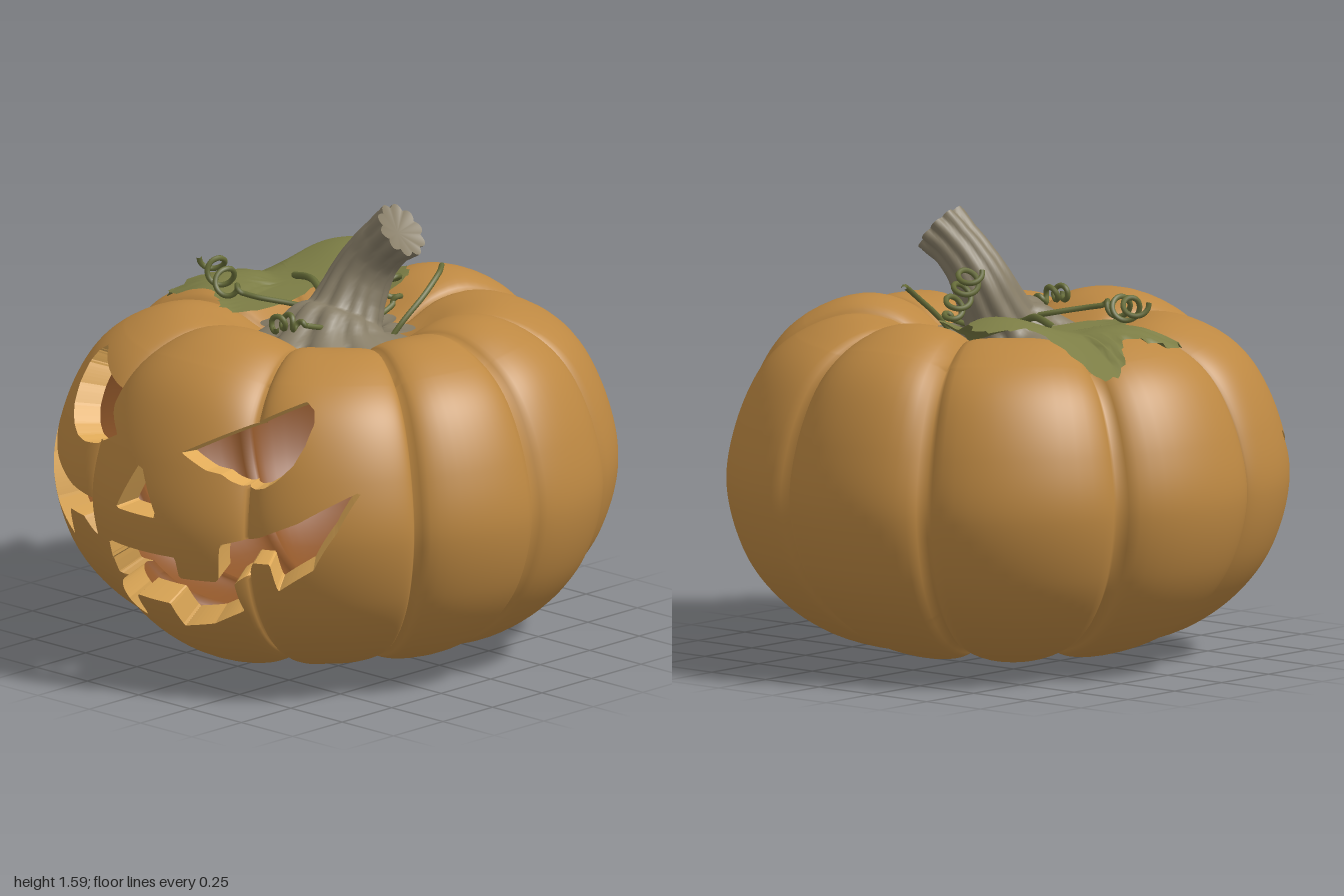
import * as THREE from 'three';

const mat = (name, color, side = THREE.FrontSide) => {
  const m = new THREE.MeshStandardMaterial({ color, side });
  m.name = name;
  return m;
};

// Body profile (radius, height) from bottom centre to top dip
const profile = new THREE.SplineCurve([
  [0, .06], [.15, .04], [.3, .014], [.43, .005], [.64, .075], [.815, .205], [.94, .385], [1, .62],
  [.965, .85], [.875, 1.05], [.75, 1.17], [.58, 1.235], [.42, 1.215], [.28, 1.13], [.15, 1.06], [0, 1.03],
].map(p => new THREE.Vector2(...p)));
const rows = [];
for (let k = 0; k < 15; k++) {
  const n = k >= 5 && k <= 9 ? 16 : k === 4 ? 6 : 4;
  for (let s = 0; s < n; s++) rows.push(profile.getPoint((k + s / n) / 15));
}
rows.push(profile.getPoint(1));

// Lobes: groove angles in degrees from the front towards +x, and the height of each lobe's top
const grooves = [-25, 24.2, 61.5, 91, 122.6, 166, 203.4, 247, 287.4, 335];
const tops = [1.235, 1.2, 1.215, 1.24, 1.21, 1.235, 1.2, 1.2, 1.2].map(y => (y - .6) / .635);
const depths = tops.map((_, l) => .105 * Math.pow((grooves[l + 1] - grooves[l]) / 45, 1.7));

// Groove dent and height factor in lobe l at u = -1..1, meeting the neighbours halfway
function lobe(l, u) {
  const next = (l + (u < 0 ? 8 : 1)) % 9;
  const blend = list => list[l] + (list[next] - list[l]) * .5 * u * u;
  return { dent: blend(depths) * (1 - Math.sqrt(Math.max(0, 1 - Math.pow(Math.abs(u), 2.2)))), top: blend(tops) };
}

// Height of the body's upper side at a point
function surfaceY(x, z) {
  let a = Math.atan2(x, z) * 180 / Math.PI;
  if (a < -25) a += 360;
  const l = Math.max(0, Math.min(8, grooves.findIndex(g => g > a) - 1));
  const { dent, top } = lobe(l, 2 * (a - grooves[l]) / (grooves[l + 1] - grooves[l]) - 1);
  const r = Math.hypot(x, z) / (1 - dent);
  let j = rows.length - 1;
  while (j > 0 && rows[j].x < r) j--;
  return .6 + (rows[j].y - .6) * (1 - dent) * top;
}

// Carved face outlines, mirrored about x = FX
const FX = -.02;
const mirrored = half => half.concat(half.filter(p => p[0] > 0).reverse().map(([x, y]) => [-x, y]));
const eye = [[.16, .90], [.50, 1.095], [.54, 1.07], [.562, 1.03], [.565, .96], [.55, .895], [.51, .84], [.47, .81],
  [.43, .798], [.37, .80], [.335, .82], [.31, .84], [.26, .85]];
const nose = [[0, .845], [.102, .66], [-.102, .66]];
const mouth = mirrored([
  [0, .525], [.165, .525], [.165, .445], [.30, .445], [.325, .59], [.47, .635], [.60, .70], [.75, .815],
  [.71, .67], [.64, .53], [.51, .435], [.50, .54], [.42, .53], [.385, .48], [.34, .44], [.33, .325],
  [.22, .265], [.09, .235], [.085, .33], [0, .33],
]);
const holes = [eye, eye.map(([x, y]) => [-x, y]), nose, mouth];

// Signed distance to the carved outlines, negative inside a hole
function carve(p) {
  if (p.z < .2) return 1;
  const x = p.x - FX, y = p.y;
  let best = 1, inside = false;
  for (const poly of holes) {
    for (let i = 0, j = poly.length - 1; i < poly.length; j = i++) {
      const [ax, ay] = poly[j], [bx, by] = poly[i];
      const dx = bx - ax, dy = by - ay;
      const t = THREE.MathUtils.clamp(((x - ax) * dx + (y - ay) * dy) / (dx * dx + dy * dy), 0, 1);
      best = Math.min(best, Math.hypot(x - ax - t * dx, y - ay - t * dy));
      if ((ay > y) !== (by > y) && x < ax + dx * (y - ay) / dy) inside = !inside;
    }
  }
  return inside ? -best : best;
}

function geometry(points, index) {
  const g = new THREE.BufferGeometry().setFromPoints(points);
  if (index) g.setIndex(index);
  g.computeVertexNormals();
  return g;
}

// Ribbed hollow body: grid clipped by the carved outlines, inner shell and cut walls
function buildBody() {
  const cols = [];
  for (let l = 0; l < 9; l++) {
    const w = grooves[l + 1] - grooves[l], n = l < 2 || l === 8 ? 46 : 14;
    for (let s = 0; s < n; s++) {
      const v = 2 * s / n - 1, u = .5 * v + .5 * Math.sin(v * Math.PI / 2);
      cols.push({ a: (grooves[l] + w * (u + 1) / 2) * Math.PI / 180, ...lobe(l, u) });
    }
  }
  const N = cols.length, pts = [], d = [], index = [], wall = [], cuts = new Map();
  for (const { x: r, y } of rows) for (const { a, dent, top } of cols) {
    const fade = Math.min(1, r / .35), k = 1 - dent * fade;
    let h = (y - .6) * k;
    if (h > 0) h *= 1 + (top - 1) * fade;
    else h += Math.min(.032, .13 * (1 - Math.cos(a))) * (h / .6) ** 2 * fade;
    const p = new THREE.Vector3(.985 * r * k * Math.sin(a), .6 + h, r * k * Math.cos(a));
    pts.push(p);
    d.push(carve(p));
  }
  const cut = (a, b) => {
    const lo = Math.min(a, b), hi = Math.max(a, b), key = lo + '_' + hi;
    if (!cuts.has(key)) {
      cuts.set(key, pts.length);
      pts.push(pts[lo].clone().lerp(pts[hi], d[lo] / (d[lo] - d[hi])));
    }
    return cuts.get(key);
  };
  const clip = tri => {
    const out = [];
    let from, to;
    tri.forEach((a, i) => {
      const b = tri[(i + 1) % 3];
      if (d[a] > 0) out.push(a);
      if ((d[a] > 0) !== (d[b] > 0)) {
        const c = cut(a, b);
        out.push(c);
        if (d[a] > 0) from = c; else to = c;
      }
    });
    for (let i = 2; i < out.length; i++) index.push(out[0], out[i - 1], out[i]);
    if (from !== undefined) wall.push([from, to]);
  };
  for (let j = 0; j < rows.length - 1; j++) for (let i = 0; i < N; i++) {
    const i2 = (i + 1) % N, a = j * N + i, b = j * N + i2;
    clip([a, b, b + N]);
    clip([a, b + N, a + N]);
  }
  const inner = pts.map(p => new THREE.Vector3(p.x * .9, .78 + (p.y - .78) * .9, p.z * .9));
  const flipped = [];
  for (let i = 0; i < index.length; i += 3) flipped.push(index[i], index[i + 2], index[i + 1]);
  const walls = wall.flatMap(([p, q]) => [pts[p], inner[p], pts[q], pts[q], inner[p], inner[q]]);
  return { skin: geometry(pts, index), inside: geometry(inner, flipped), walls: geometry(walls) };
}

// Stem: twisted ribbed loft with a scalloped flare at the base; rows are x, y, z, radius, rib depth
function buildStem() {
  const keys = [
    [.03, 1.135, .04, .265, .14], [.03, 1.16, .025, .185, .12], [.03, 1.19, -.01, .132, .08], [.035, 1.25, -.045, .116, .07],
    [.05, 1.32, -.075, .106, .07], [.085, 1.39, -.095, .096, .07], [.14, 1.455, -.11, .092, .08], [.20, 1.505, -.12, .1, .12],
  ];
  const path = new THREE.CatmullRomCurve3(keys.map(k => new THREE.Vector3(k[0], k[1], k[2])));
  const R = 35, S = 80, pts = [], index = [], up = new THREE.Vector3(0, 1, 0);
  for (let j = 0; j <= R; j++) {
    const f = j / R * 7, k = Math.min(6, Math.floor(f)), c = path.getPoint(j / R);
    const mix = n => THREE.MathUtils.lerp(keys[k][n], keys[k + 1][n], f - k);
    const tangent = path.getTangent(j / R);
    if (f < 3) tangent.lerp(up, 1 - f / 3).normalize();
    const q = new THREE.Quaternion().setFromUnitVectors(up, tangent);
    for (let i = 0; i < S; i++) {
      const a = i / S * Math.PI * 2, r = mix(3) * (1 + mix(4) * (Math.abs(Math.cos(5 * a + f * .45)) * 1.6 - 1));
      pts.push(new THREE.Vector3(r * Math.sin(a), 0, r * Math.cos(a)).applyQuaternion(q).add(c));
    }
  }
  for (let j = 0; j < R; j++) for (let i = 0; i < S; i++) {
    const a = j * S + i, b = j * S + (i + 1) % S;
    index.push(a, b, b + S, a, b + S, a + S);
  }
  // Cut end, slightly sunken
  const base = pts.length, end = R * S;
  for (let i = 0; i < S; i++) pts.push(pts[end + i].clone());
  pts.push(new THREE.Vector3(.185, 1.492, -.115));
  for (let i = 0; i < S; i++) index.push(base + i, base + (i + 1) % S, base + S);
  return geometry(pts, index);
}

// Five-lobed leaf, drooping at the sides and raised at the back
function buildLeaf() {
  const outline = [
    [-.05, -.43], [-.07, -.32], [-.18, -.21], [-.25, -.15], [-.23, -.06], [-.22, .1], [-.26, .23], [-.33, .245], [-.41, .17],
    [-.5, .12], [-.67, .145], [-.71, .1], [-.69, 0], [-.63, -.1], [-.71, -.185], [-.765, -.29], [-.765, -.375], [-.66, -.37],
    [-.57, -.39], [-.5, -.45], [-.47, -.54], [-.4, -.6], [-.31, -.555], [-.275, -.41], [-.21, -.43], [-.15, -.455],
  ];
  const curve = new THREE.CatmullRomCurve3(outline.map(([x, z]) => new THREE.Vector3(x, 0, z)), true);
  const S = 130, R = 10, cx = -.36, cz = -.16, pts = [], index = [];
  for (let j = 0; j <= R; j++) for (let i = 0; i < S; i++) {
    const e = curve.getPoint(i / S), s = j / R * (1 + (j === R ? .015 * (i % 4 - 1.5) : 0));
    const x = cx + (e.x - cx) * s, z = cz + (e.z - cz) * s;
    const hump = .1 * Math.exp(-((x + .36) ** 2 + (z + .46) ** 2) / .06);
    const y = 1.185 + hump - .35 * Math.max(0, -x - .5) - .4 * Math.max(0, x + .22);
    pts.push(new THREE.Vector3(x, Math.max(y, surfaceY(x, z) + .015), z));
  }
  for (let j = 0; j < R; j++) for (let i = 0; i < S; i++) {
    const a = j * S + i, b = j * S + (i + 1) % S;
    index.push(a, b + S, a + S, a, b, b + S);
  }
  return geometry(pts, index);
}

// Tendril: tube along a path that starts coiling at fraction `from`
function tendril(points, turns = 0, radius = 0, from = 0, thick = .01) {
  const path = new THREE.CatmullRomCurve3(points.map(p => new THREE.Vector3(...p)));
  const M = 24 + turns * 14, out = [];
  for (let i = 0; i <= M; i++) {
    const t = i / M, s = Math.max(0, (t - from) / (1 - from)), p = path.getPoint(t), d = path.getTangent(t);
    const side = new THREE.Vector3(d.z, 0, -d.x).normalize(), up = new THREE.Vector3().crossVectors(d, side);
    const a = s * turns * Math.PI * 2, r = radius * Math.min(1, s * 4);
    out.push(p.addScaledVector(side, r * Math.cos(a)).addScaledVector(up, r * Math.sin(a)));
  }
  return new THREE.TubeGeometry(new THREE.CatmullRomCurve3(out), M * 2, thick, 7);
}

export function createModel() {
  const group = new THREE.Group();
  const add = (name, geo, material) => {
    const m = new THREE.Mesh(geo, material);
    m.name = name;
    group.add(m);
  };
  const body = buildBody();
  add('pumpkinSkin', body.skin, mat('orange skin', 0xbd8842));
  add('pumpkinInside', body.inside, mat('dark inside', 0x8f5629));
  add('carvedWalls', body.walls, mat('pale flesh', 0xe0aa58, THREE.DoubleSide));
  add('stem', buildStem(), mat('grey stem', 0x877d67));
  add('leaf', buildLeaf(), mat('leaf green', 0x7c7d45, THREE.DoubleSide));

  const vine = mat('vine green', 0x666c38);
  add('leafStalk', tendril([[-.37, 1.215, -.17], [-.25, 1.235, -.13], [-.13, 1.2, -.08], [0, 1.19, -.03]], 0, 0, 0, .013), vine);
  add('leftTendril', tendril([[0, 1.18, .02], [-.12, 1.21, .08], [-.24, 1.235, .17], [-.33, 1.25, .19],
    [-.42, 1.255, .13], [-.5, 1.265, .09], [-.56, 1.295, .06]], 3, .04, .4), vine);
  add('frontTendril', tendril([[.05, 1.17, .08], [.11, 1.19, .17], [.1, 1.215, .26], [.06, 1.235, .32], [.05, 1.23, .38]], 3, .025, .5), vine);
  add('backTendril', tendril([[.1, 1.17, -.1], [.09, 1.21, -.2], [.03, 1.27, -.23], [-.03, 1.34, -.25], [-.08, 1.4, -.28]], 4, .04, .2), vine);
  add('rightTendril', tendril([[.2, 1.1, -.04], [.225, 1.18, -.1], [.235, 1.26, -.2], [.21, 1.315, -.3], [.165, 1.32, -.36]]), vine);
  return group;
}
